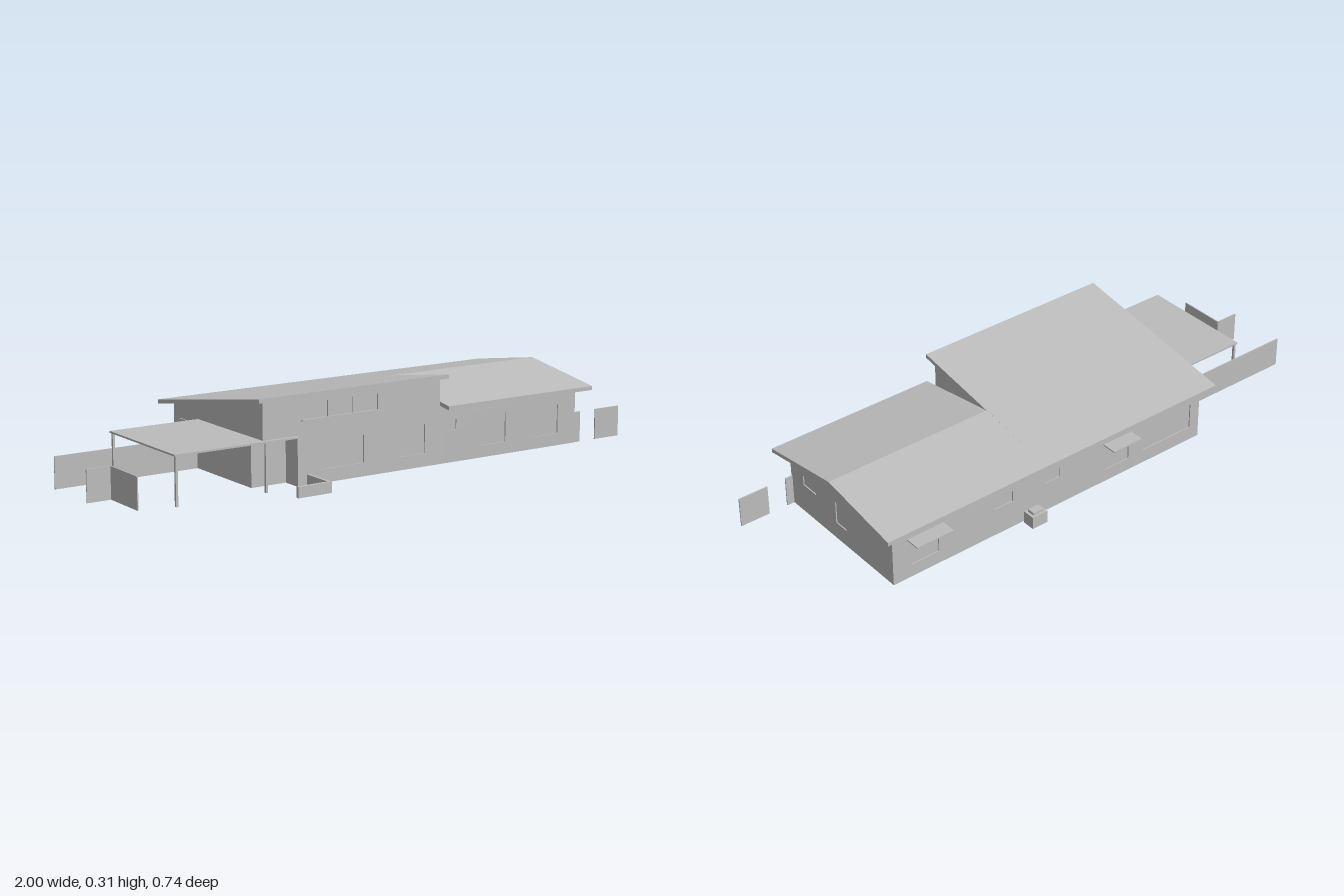
import * as THREE from 'three';

const T = 0.014; // roof and wall thickness

export function createModel() {
  const house = new THREE.Group();
  house.name = 'house';
  const grey = new THREE.MeshStandardMaterial({ color: 0xbcbcbc });
  grey.name = 'plain grey';

  const add = (name, geo) => {
    const mesh = new THREE.Mesh(geo, grey);
    mesh.name = name;
    house.add(mesh);
    return mesh;
  };
  // box given by its limits on each axis
  const box = (name, x0, x1, y0, y1, z0, z1) =>
    add(name, new THREE.BoxGeometry(x1 - x0, y1 - y0, z1 - z0)
      .translate((x0 + x1) / 2, (y0 + y1) / 2, (z0 + z1) / 2));
  // flat outline with rectangular openings [u0, u1, y0, y1]
  const outline = (points, openings = []) => {
    const shape = new THREE.Shape(points.map(p => new THREE.Vector2(...p)));
    for (const [a, b, c, d] of openings) {
      shape.holes.push(new THREE.Path([[a, c], [a, d], [b, d], [b, c]].map(p => new THREE.Vector2(...p))));
    }
    return shape;
  };
  const extrude = (shape, depth) => new THREE.ExtrudeGeometry(shape, { depth, bevelEnabled: false });
  // wall facing front or back, from z0 to z0 + T
  const longWall = (name, points, z0, openings = []) => {
    add(name, extrude(outline(points, openings), T).translate(0, 0, z0));
    for (const [a, b, c, d] of openings) box('windowPane', a, b, c, d, z0 + 0.004, z0 + T - 0.004);
  };
  // outline in z and y, running from x0 to x1
  const crossPart = (name, points, x0, x1, openings = []) => {
    add(name, extrude(outline(points, openings), x1 - x0).rotateY(-Math.PI / 2).translate(x1, 0, 0));
    for (const [a, b, c, d] of openings) box('sideWindowPane', x0 + 0.004, x1 - 0.004, c, d, a, b);
  };

  // Roofs: one long slope, and a gabled part on the lower wing
  crossPart('mainRoof', [[-0.35, 0.191], [0.285, 0.296], [0.285, 0.31], [-0.35, 0.205]], -0.52, 0.214);
  crossPart('wingRoof', [[-0.35, 0.191], [-0.04, 0.242], [0.285, 0.189], [0.285, 0.203],
    [-0.04, 0.256], [-0.35, 0.205]], 0.214, 0.835);

  // Front walls, the tall one cut away over the entry
  longWall('frontWall', [[-0.35, 0], [0.21, 0], [0.21, 0.289], [-0.48, 0.289], [-0.48, 0.163], [-0.35, 0.163]],
    0.24 - T, [[-0.27, -0.095, 0.045, 0.137], [0.045, 0.15, 0.045, 0.143],
      [-0.33, -0.235, 0.215, 0.268], [-0.232, -0.137, 0.215, 0.268], [-0.134, -0.04, 0.215, 0.268]]);
  longWall('frontWingWall', [[0.21, 0], [0.797, 0], [0.797, 0.197], [0.21, 0.197]], 0.24 - T,
    [[0.24, 0.28, 0.11, 0.145], [0.38, 0.49, 0.042, 0.143], [0.61, 0.72, 0.042, 0.143]]);
  box('clerestorySill', -0.335, -0.035, 0.211, 0.215, 0.24, 0.244);

  // Back wall
  longWall('backWall', [[-0.48, 0], [0.797, 0], [0.797, 0.197], [-0.48, 0.197]], -0.315,
    [[-0.44, -0.225, 0.05, 0.143], [-0.165, -0.07, 0.045, 0.143], [0.13, 0.19, 0.107, 0.143],
      [0.325, 0.4, 0.1, 0.14], [0.62, 0.725, 0.045, 0.143]]);

  // End walls and the wall where the roofs step
  crossPart('gableWall', [[-0.315, 0], [0.24, 0], [0.24, 0.197], [-0.04, 0.243], [-0.315, 0.197]],
    0.797 - T, 0.797, [[0.1, 0.17, 0.107, 0.143], [-0.065, -0.01, 0.062, 0.143]]);
  crossPart('carportEndWall', [[-0.315, 0], [0.17, 0], [0.17, 0.163], [0.24, 0.163], [0.24, 0.289], [-0.315, 0.197]],
    -0.48, -0.48 + T);
  crossPart('roofStepWall', [[-0.04, 0.242], [0.24, 0.19], [0.24, 0.289]], 0.21 - T, 0.211);
  box('sideDoor', -0.485, -0.48, 0, 0.15, -0.275, -0.18);

  // Entry recess
  box('entryBackWall', -0.48, -0.35, 0, 0.163, 0.17 - T, 0.17);
  box('entrySideWall', -0.35, -0.35 + T, 0, 0.163, 0.16, 0.24 - T);

  // Carport canopy on posts, reaching over the entry
  box('carportCanopy', -0.805, -0.48, 0.16, 0.166, -0.16, 0.255);
  box('entryCanopy', -0.48, -0.35, 0.16, 0.166, 0.17, 0.255);
  for (const [x, z] of [[-0.795, 0.245], [-0.795, -0.155], [-0.473, 0.248]]) {
    box('carportPost', x - 0.004, x + 0.004, 0, 0.16, z - 0.004, z + 0.004);
  }

  // Low planter wall by the entry
  box('planterSide', -0.315, -0.305, 0, 0.036, 0.24, 0.367);
  box('planterFront', -0.43, -0.315, 0, 0.036, 0.355, 0.367);

  // Fences
  box('backFence', -1, -0.48, 0, 0.107, -0.168, -0.164);
  box('cornerFence', -1, -0.915, 0, 0.107, 0.048, 0.052);
  box('cornerFenceReturn', -0.917, -0.913, 0, 0.107, 0.05, 0.22);
  box('gateFenceInner', 0.797, 0.824, 0, 0.107, 0.234, 0.238);
  box('gateFenceOuter', 0.893, 1, 0, 0.107, 0.234, 0.238);

  // Awnings and outdoor unit at the back
  for (const [a, b] of [[-0.175, -0.055], [0.6, 0.74]]) box('awning', a, b, 0.146, 0.15, -0.368, -0.315);
  box('outdoorUnit', 0.225, 0.285, 0, 0.044, -0.367, -0.322);
  box('outdoorUnitTop', 0.235, 0.275, 0.044, 0.053, -0.358, -0.33);

  // Inner partitions: corridor walls and room dividers
  const H = 0.16;
  for (const [a, b] of [[-0.2, -0.06], [0, 0.26], [0.32, 0.48], [0.54, 0.783]]) {
    box('corridorWall', a, b, 0, H, -0.09, -0.082);
    box('corridorWall', a, b, 0, H, 0.02, 0.028);
  }
  for (const x of [-0.2, 0.1, 0.31, 0.47]) box('backDivider', x, x + 0.008, 0, H, -0.301, -0.09);
  for (const x of [0, 0.2, 0.32, 0.54]) box('frontDivider', x, x + 0.008, 0, H, 0.028, 0.226);

  // Furniture: beds, tables and counters
  for (const [x, z] of [[0.64, -0.24], [0.39, -0.24], [0.66, 0.13], [0.43, 0.13], [0.1, 0.14]]) {
    box('bed', x - 0.045, x + 0.045, 0.015, 0.035, z - 0.055, z + 0.055);
    box('bedHead', x - 0.045, x + 0.045, 0.015, 0.06, z - 0.059, z - 0.055);
  }
  for (const [x, z] of [[-0.3, 0.08], [-0.15, 0.05], [-0.33, -0.13]]) {
    box('tableTop', x - 0.05, x + 0.05, 0.04, 0.045, z - 0.03, z + 0.03);
    for (const s of [-1, 1]) box('tableLeg', x + s * 0.044 - 0.003, x + s * 0.044 + 0.003, 0, 0.04, z - 0.025, z + 0.025);
  }
  for (const [a, b] of [[-0.18, 0.08], [0.13, 0.29]]) box('counter', a, b, 0.03, 0.055, -0.301, -0.26);

  return house;
}
